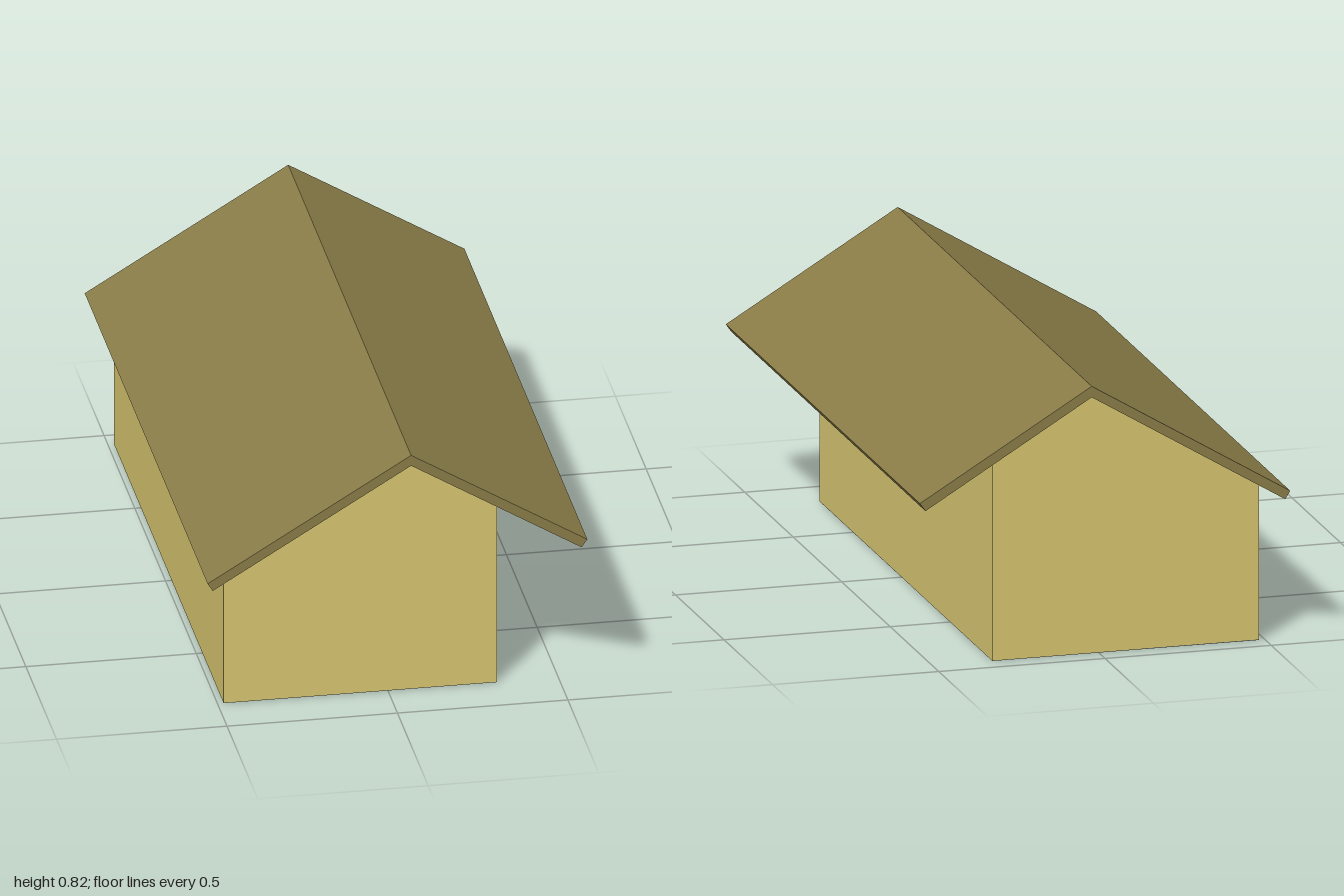
import * as THREE from 'three';

// Extrude a front outline between two depths
function prism(name, points, zBack, zFront, color) {
  const shape = new THREE.Shape(points.map(([x, y]) => new THREE.Vector2(x, y)));
  const geometry = new THREE.ExtrudeGeometry(shape, { depth: zFront - zBack, bevelEnabled: false });
  geometry.translate(0, 0, zBack);
  const mesh = new THREE.Mesh(geometry, new THREE.MeshStandardMaterial({ color }));
  mesh.name = name;
  return mesh;
}

export function createModel() {
  const model = new THREE.Group();
  model.name = 'house';

  // Walls with gable ends, ridge off centre
  model.add(prism('walls', [
    [-0.482, 0], [0.32, 0], [0.32, 0.616], [0.04, 0.785], [-0.482, 0.47],
  ], -0.935, 0.845, 0xd8c670));

  // Overhanging roof of even thickness, its eaves cut square to the slope
  model.add(prism('roof', [
    [-0.542, 0.434], [0.04, 0.785], [0.54, 0.483],
    [0.557, 0.507], [0.04, 0.818], [-0.557, 0.458],
  ], -1, 1, 0x8a7d48));

  // Grey floor closing the underside
  const floor = new THREE.Mesh(
    new THREE.BoxGeometry(0.802, 0.002, 1.78),
    new THREE.MeshStandardMaterial({ color: 0x808080 }),
  );
  floor.name = 'floor';
  floor.position.set(-0.081, 0, -0.045);
  model.add(floor);
  model.position.y = 0.001;

  return model;
}
